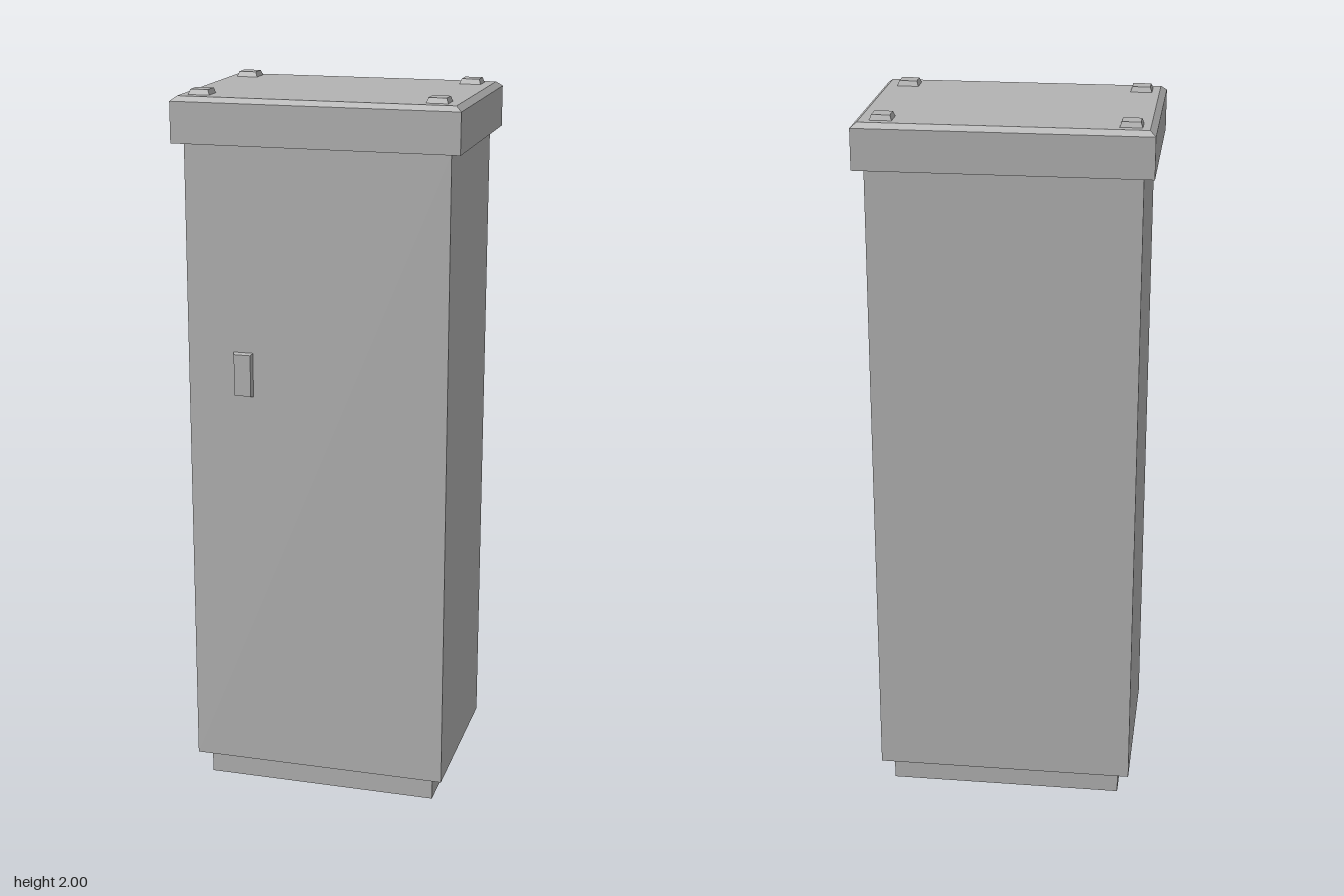
import * as THREE from 'three';

// Box standing on y = 0 whose top face is inset on every side
function taperedBox(w, h, d, inset) {
  const geo = new THREE.BoxGeometry(w, h, d);
  geo.translate(0, h / 2, 0);
  const p = geo.attributes.position;
  for (let i = 0; i < p.count; i++) {
    if (p.getY(i) > h / 2) {
      p.setX(i, p.getX(i) - Math.sign(p.getX(i)) * inset);
      p.setZ(i, p.getZ(i) - Math.sign(p.getZ(i)) * inset);
    }
  }
  geo.computeVertexNormals();
  return geo;
}

export function createModel() {
  const model = new THREE.Group();
  model.name = 'cabinet';
  const grey = new THREE.MeshStandardMaterial({ color: 0xb3b3b3 });
  grey.name = 'grey metal';

  const add = (name, geo, x, y, z) => {
    const mesh = new THREE.Mesh(geo, grey);
    mesh.name = name;
    mesh.position.set(x, y, z);
    model.add(mesh);
    return mesh;
  };
  const addBox = (name, w, d, y0, y1) =>
    add(name, new THREE.BoxGeometry(w, y1 - y0, d), 0, (y0 + y1) / 2, 0);

  // Plinth, body and overhanging roof
  addBox('plinth', 0.662, 0.44, 0, 0.072);
  addBox('body', 0.728, 0.504, 0.072, 1.862);
  addBox('roof', 0.785, 0.556, 1.862, 1.973);
  add('roofBevel', taperedBox(0.785, 0.013, 0.556, 0.016), 0, 1.973, 0);

  // Four lifting-point covers on the roof
  for (const x of [-0.327, 0.319]) {
    for (const z of [-0.21, 0.203]) {
      add('roofPad', taperedBox(0.059, 0.014, 0.057, 0.005), x, 1.986, z);
    }
  }

  // Door handle, tapering away from the front face
  const handle = add('doorHandle', taperedBox(0.055, 0.013, 0.124, 0.004), -0.207, 1.233, 0.252);
  handle.rotation.x = Math.PI / 2;

  return model;
}
